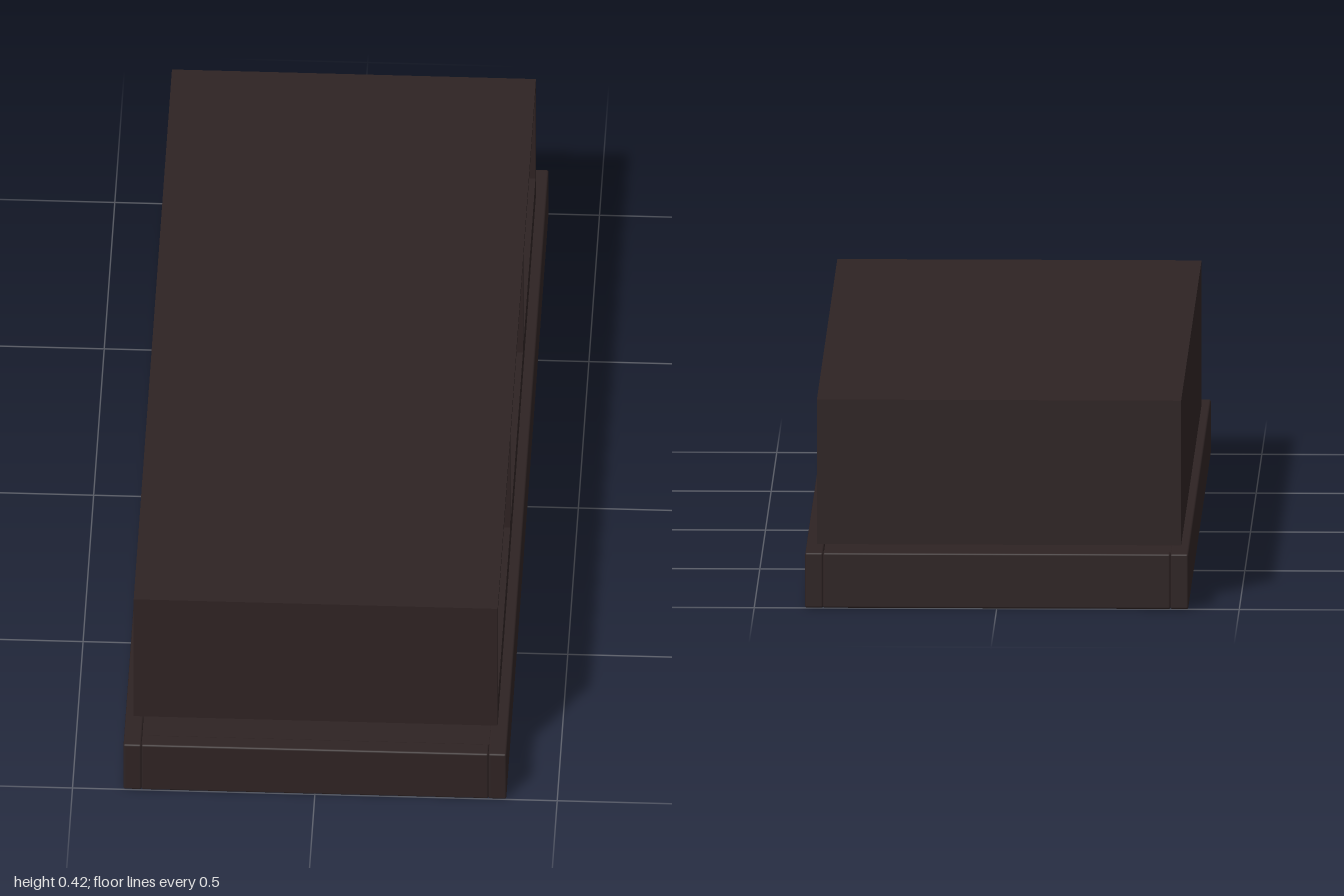
import * as THREE from 'three';
import { RoundedBoxGeometry } from 'three/addons/geometries/RoundedBoxGeometry.js';

export function createModel() {
  const model = new THREE.Group();
  model.name = 'lowCabinet';
  const wood = new THREE.MeshStandardMaterial({ name: 'darkWood', color: 0x2e2323 });

  // Board given by its extents; a radius softens the edges
  function board(name, [x0, x1], [y0, y1], [z0, z1], parent, radius = 0) {
    const size = [x1 - x0, y1 - y0, z1 - z0];
    const geometry = radius
      ? new RoundedBoxGeometry(...size, 2, radius)
      : new THREE.BoxGeometry(...size);
    const mesh = new THREE.Mesh(geometry, wood);
    mesh.name = name;
    mesh.position.set((x0 + x1) / 2, (y0 + y1) / 2, (z0 + z1) / 2);
    parent.add(mesh);
  }

  // Plinth: soft-edged rails around a slightly sunken deck
  const base = new THREE.Group();
  base.name = 'base';
  const baseTop = 0.115;
  for (const s of [-1, 1]) {
    const span = (a, b) => (s > 0 ? [a, b] : [-b, -a]);
    board('sideRail', span(0.358, 0.395), [0, baseTop], [-1, 1], base, 0.004);
    board('endRail', [-0.358, 0.358], [0, baseTop], span(0.963, 1), base, 0.004);
  }
  board('deck', [-0.358, 0.358], [0.002, 0.104], [-0.963, 0.963], base);

  // Cabinet shell, open on its left side
  const cabinet = new THREE.Group();
  cabinet.name = 'cabinet';
  const back = -0.378, front = 0.373, bottom = 0.118, top = 0.42;
  const under = top - 0.013, floor = 0.18, end = 0.905, inner = 0.882;
  const depth = [back + 0.012, front];
  board('topPanel', [back, front], [under, top], [-end, end], cabinet);
  board('backPanel', [back, back + 0.012], [bottom, under], [-end, end], cabinet);
  board('floorAndKickboard', depth, [bottom, floor], [-inner, inner], cabinet);
  for (const s of [-1, 1]) {
    const span = (a, b) => (s > 0 ? [a, b] : [-b, -a]);
    board('endPanel', depth, [bottom, under], span(inner, end), cabinet);
    board('divider', depth, [floor, under], span(0.288, 0.31), cabinet);
  }

  model.add(base, cabinet);
  return model;
}
